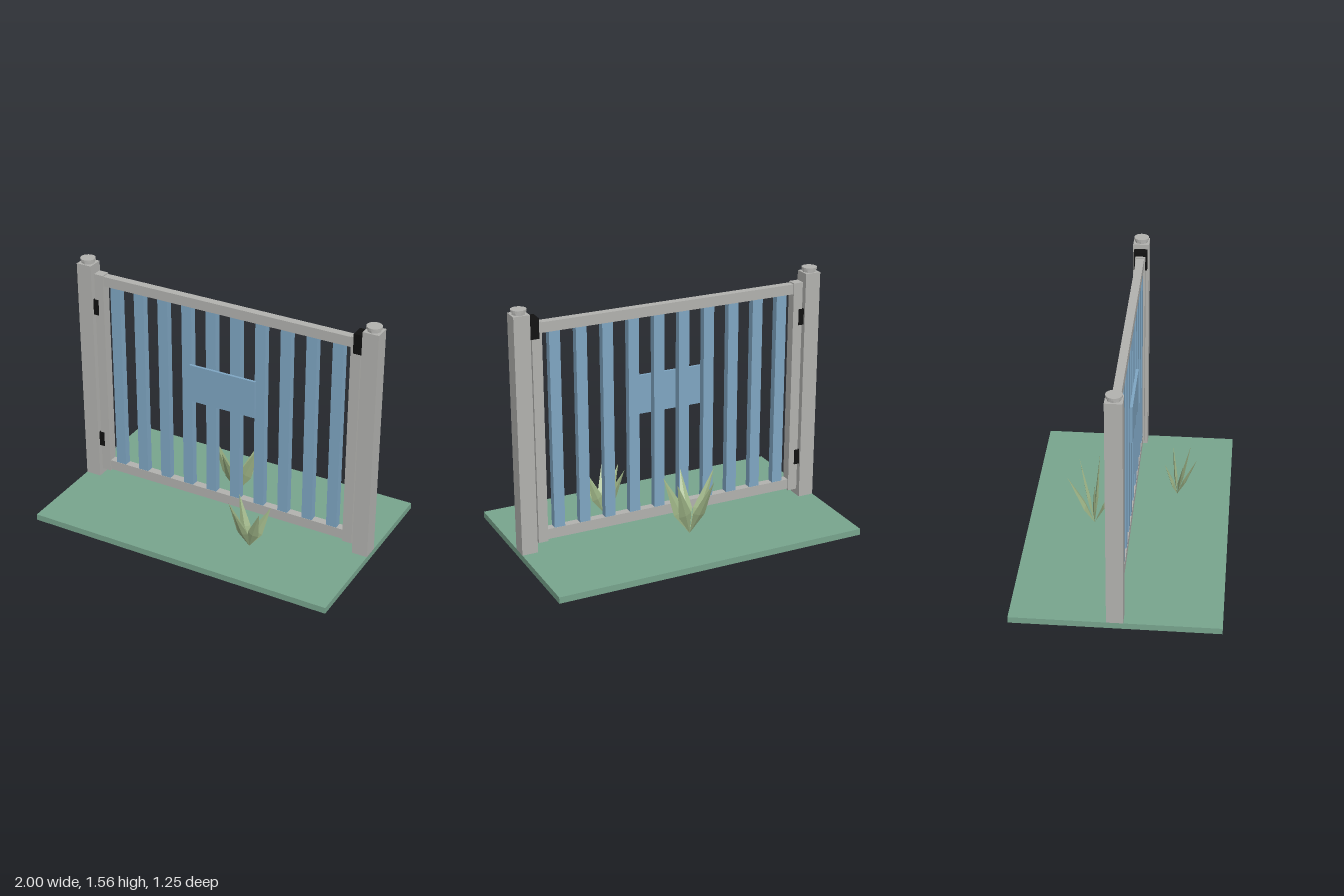
import * as THREE from 'three';

const paint = (name, color, flatShading = true) => {
  const m = new THREE.MeshStandardMaterial({ color, flatShading });
  m.name = name;
  return m;
};

export function createModel() {
  const root = new THREE.Group();
  root.name = 'gardenGate';
  const grey = paint('greyMetal', 0xb2b2af);
  const blue = paint('bluePaint', 0x7fa6c3);
  const black = paint('blackIron', 0x101010);
  const green = paint('groundGreen', 0x78a58e);
  const leafGreen = paint('leafGreen', 0xa2b98a);

  const add = (name, geometry, material, parent = root) => {
    const mesh = new THREE.Mesh(geometry, material);
    mesh.name = name;
    parent.add(mesh);
    return mesh;
  };
  // Box given by its lower and upper limits on each axis
  const box = (name, material, [x0, x1], [y0, y1], [z0, z1], parent = root) => {
    const mesh = add(name, new THREE.BoxGeometry(x1 - x0, y1 - y0, z1 - z0), material, parent);
    mesh.position.set((x0 + x1) / 2, (y0 + y1) / 2, (z0 + z1) / 2);
    return mesh;
  };

  box('ground', green, [-1, 1], [0, 0.04], [-0.625, 0.625]);

  // Posts with a nut-like neck and round cap
  for (const [side, label] of [[-1, 'right'], [1, 'left']]) {
    const x = side * 0.95;
    box(label + 'Post', grey, [x - 0.05, x + 0.05], [0.04, 1.53], [-0.05, 0.05]);
    add(label + 'CapNeck', new THREE.CylinderGeometry(0.041, 0.041, 0.02, 8), grey).position.set(x, 1.539, 0);
    add(label + 'Cap', new THREE.CylinderGeometry(0.047, 0.047, 0.014, 24), grey).position.set(x, 1.553, 0);
  }

  // Gate frame
  const gate = new THREE.Group();
  gate.name = 'gate';
  root.add(gate);
  box('rightStile', grey, [-0.89, -0.828], [0.09, 1.475], [-0.031, 0.031], gate);
  box('leftStile', grey, [0.824, 0.886], [0.09, 1.475], [-0.031, 0.031], gate);
  box('topRail', grey, [-0.83, 0.826], [1.405, 1.468], [-0.025, 0.025], gate);
  box('bottomRail', grey, [-0.83, 0.826], [0.1, 0.165], [-0.025, 0.025], gate);

  // Upright bars and the blank sign
  for (let i = 0; i < 10; i++) {
    const x = -0.748 + i * 0.1658;
    box('bar' + (i + 1), blue, [x - 0.034, x + 0.034], [0.165, 1.405], [-0.023, 0.023], gate);
  }
  box('sign', blue, [-0.225, 0.222], [0.78, 1.026], [0.023, 0.04], gate);

  // Hinges and latch
  box('lowerHinge', black, [-0.904, -0.866], [0.267, 0.365], [-0.037, 0.037]);
  box('upperHinge', black, [-0.904, -0.866], [1.203, 1.305], [-0.037, 0.037]);
  box('latch', black, [0.844, 0.896], [1.378, 1.502], [-0.042, 0.042]);

  // Leaf: flattened four-sided spindle, broad across x
  const leaf = (base, tip, halfWidth, halfThick) => {
    const d = tip.clone().sub(base).normalize();
    const w = new THREE.Vector3(1, 0, 0).addScaledVector(d, -d.x).normalize();
    const n = d.clone().cross(w);
    const mid = base.clone().lerp(tip, 0.38);
    const ring = [[w, halfWidth], [n, halfThick], [w, -halfWidth], [n, -halfThick]]
      .map(([v, s]) => mid.clone().addScaledVector(v, s));
    const points = [];
    ring.forEach((a, i) => {
      const b = ring[(i + 1) % 4];
      points.push(a, b, tip, b, a, base);
    });
    const g = new THREE.BufferGeometry().setFromPoints(points);
    g.computeVertexNormals();
    return g;
  };

  const plant = (name, base, tips, halfWidth) => {
    const group = new THREE.Group();
    group.name = name;
    root.add(group);
    const foot = new THREE.Vector3(...base);
    tips.forEach((t, i) => add('leaf' + (i + 1),
      leaf(foot, new THREE.Vector3(...t), halfWidth, 0.011), leafGreen, group));
  };
  plant('rearPlant', [-0.03, 0.04, -0.215], [
    [-0.115, 0.43, -0.37], [0.105, 0.43, -0.32], [0.14, 0.435, -0.195],
    [-0.047, 0.405, -0.045], [-0.203, 0.435, -0.195]], 0.042);
  plant('frontPlant', [0.325, 0.04, 0.285], [
    [0.213, 0.34, 0.208], [0.45, 0.335, 0.248], [0.43, 0.34, 0.362],
    [0.277, 0.34, 0.41], [0.202, 0.335, 0.325]], 0.036);

  return root;
}
